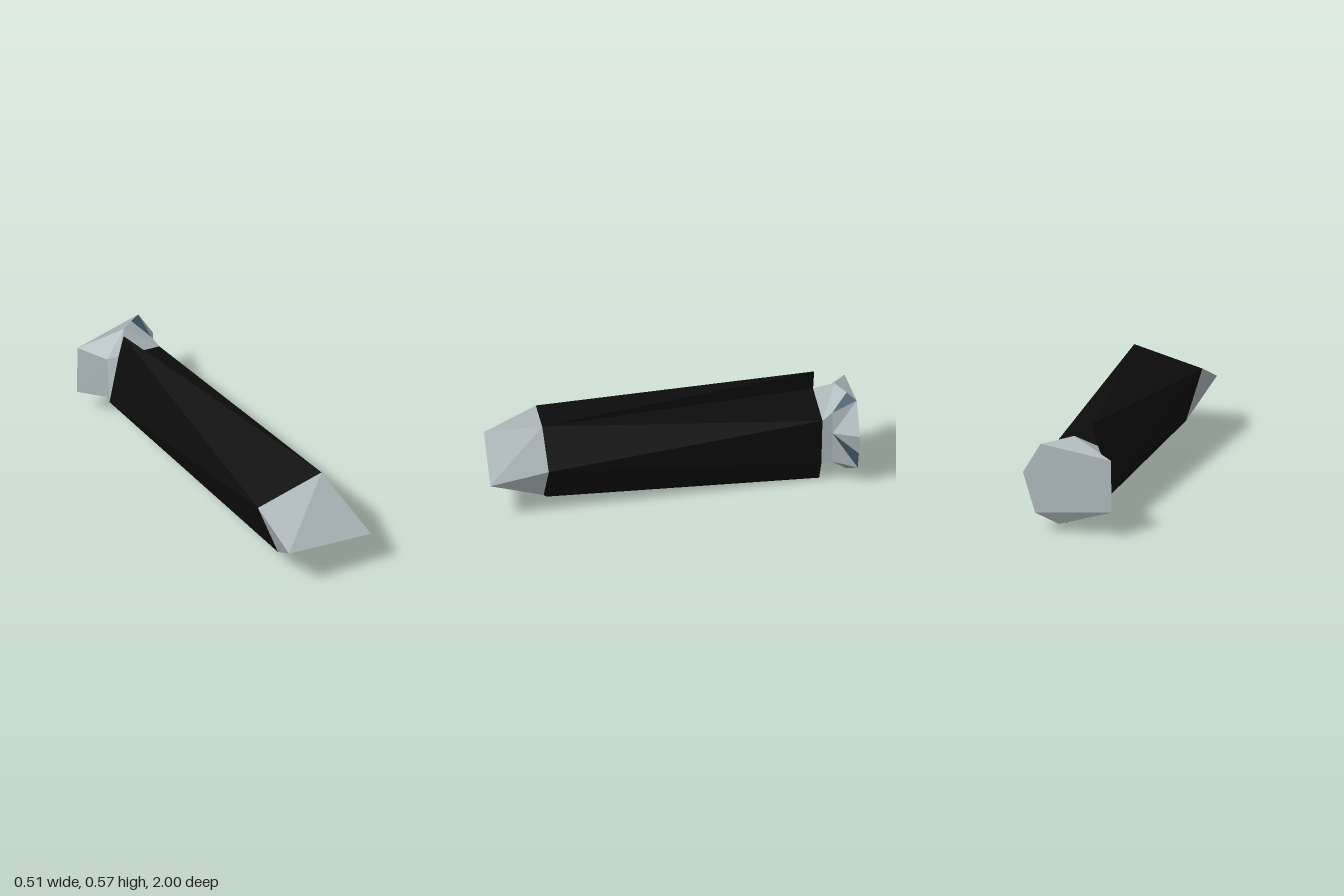
import * as THREE from 'three';

const mat = (name, color) => {
  const m = new THREE.MeshStandardMaterial({ color, flatShading: true, side: THREE.DoubleSide });
  m.name = name;
  return m;
};

// Faceted shell from named corners; each triangle is turned to face away from the core
function facets(name, points, faces, core, material) {
  const pos = [];
  const n = new THREE.Vector3(), mid = new THREE.Vector3();
  for (const face of faces.split(' ')) {
    const [a, b, c] = face.split('-').map((k) => new THREE.Vector3(...points[k]));
    n.crossVectors(b.clone().sub(a), c.clone().sub(a));
    mid.copy(a).add(b).add(c).divideScalar(3).sub(core);
    const order = n.dot(mid) < 0 ? [a, c, b] : [a, b, c];
    for (const v of order) pos.push(v.x, v.y, v.z);
  }
  const geo = new THREE.BufferGeometry();
  geo.setAttribute('position', new THREE.Float32BufferAttribute(pos, 3));
  geo.computeVertexNormals();
  const mesh = new THREE.Mesh(geo, material);
  mesh.name = name;
  return mesh;
}

export function createModel() {
  const group = new THREE.Group();
  const black = mat('black', 0x0c0c0c);
  const silver = mat('silver', 0xabb6b9);
  const blue = mat('slate blue', 0x3e5666);
  const brown = mat('dark brown', 0x422c2e);

  const p = {
    // front ring of the grip
    A: [-0.257, 0.413, 0.66], B: [0.13, 0.5, 0.7], R: [0.237, 0.28, 0.685],
    F: [0.17, 0.107, 0.7], G: [0, 0, 0.65], E: [-0.155, 0.098, 0.7],
    // wedge edge
    C: [0.237, 0.228, 1], D: [-0.257, 0.281, 0.94],
    // back ring of the grip
    T: [-0.07, 0.567, -0.805], Q: [-0.103, 0.447, -0.805], U: [0.163, 0.395, -0.805],
    S: [0.132, 0.122, -0.805], H: [0.07, 0, -0.805], P: [-0.163, 0.17, -0.805],
    // waist of the end knob
    w0: [0.15, 0.43, -0.86], w1: [0.16, 0.31, -0.86], w2: [0.14, 0.13, -0.86],
    w3: [-0.14, 0.16, -0.86], w4: [-0.14, 0.41, -0.86],
    // rim of the end knob
    c1: [0.257, 0.328, -0.99], c2: [0.16, 0.495, -0.99], c3: [-0.23, 0.44, -1],
    c4: [-0.235, 0.15, -1], c5: [0.19, 0.107, -0.99], c6: [0.07, 0.042, -0.95],
    c7: [0, 0.525, -0.9], m1: [0.085, 0.509, -0.95], m2: [0.222, 0.21, -0.99],
  };

  const gripCore = new THREE.Vector3(0, 0.25, 0);
  const noseCore = new THREE.Vector3(0, 0.26, 0.7);
  const knobCore = new THREE.Vector3(0, 0.28, -0.92);

  const gripSides = 'A-B-T B-Q-T B-U-Q B-R-U R-S-U R-F-S F-H-S F-G-H G-P-H G-E-P E-A-P A-T-P';
  const gripEnd = 'P-T-Q P-Q-U P-U-S P-S-H';
  const tip = 'A-B-D D-B-C B-R-C R-F-C F-E-C E-D-C E-A-D';
  const neck = 'Q-w4-c7 U-Q-c7 U-w0-c7 U-w1-w0 U-S-w1 S-w2-w1 S-P-w3 S-w3-w2 P-Q-w4 P-w4-w3';
  const flare = 'w4-c3-c7 c7-m1-w0 w0-c2-w1 c2-c1-w1 c1-m2-w1 w1-c5-w2 w2-c5-c6 w2-c6-w3 w3-c6-c4 w3-c4-w4 w4-c4-c3';
  const knobCap = 'c7-c3-m1 m1-c3-c2 c2-c3-c1 c1-c3-c4 c1-c4-m2 m2-c4-c5 c5-c4-c6';

  group.add(
    facets('gripSides', p, gripSides, gripCore, black),
    facets('gripEnd', p, gripEnd, gripCore, black),
    facets('gripFrontFacet', p, 'E-F-G', gripCore, brown),
    facets('wedgeTip', p, tip, noseCore, silver),
    facets('knobNeck', p, neck, knobCore, silver),
    facets('knobFlare', p, flare, knobCore, silver),
    facets('knobCap', p, knobCap, knobCore, silver),
    facets('knobBlueFacets', p, 'm1-c2-w0 m2-c5-w1', knobCore, blue),
  );
  return group;
}
